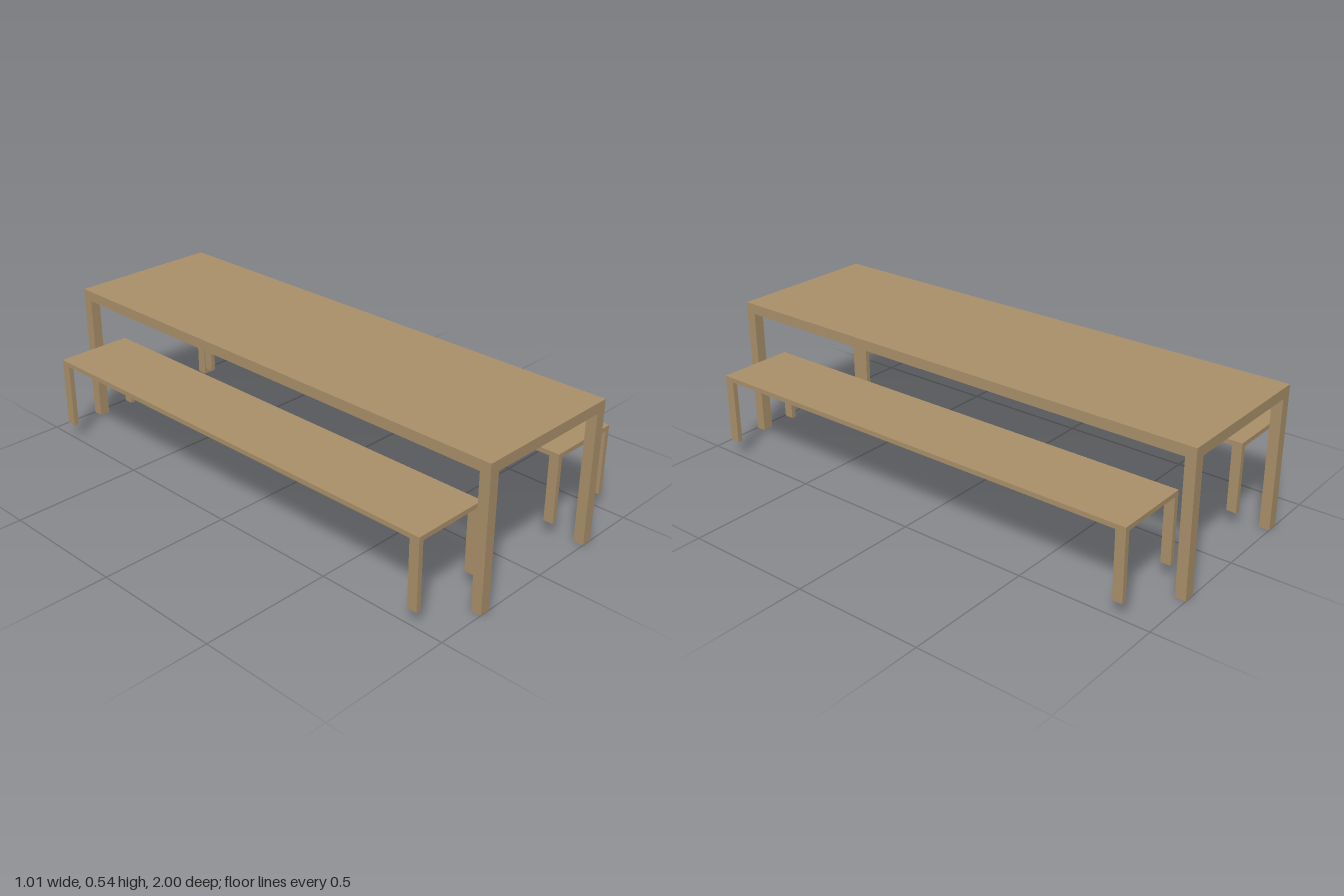
import * as THREE from 'three';

const wood = new THREE.MeshStandardMaterial({ color: 0xa9906a });

function addBox(group, name, size, pos) {
  const mesh = new THREE.Mesh(new THREE.BoxGeometry(...size), wood);
  mesh.name = name;
  mesh.position.set(...pos);
  group.add(mesh);
}

// A flat slab on four corner legs, flush with the slab's edges
function makeTrestle(name, { x, bottom, top, width, length, thickness, legX, legZ }) {
  const group = new THREE.Group();
  group.name = name;
  group.position.x = x;
  addBox(group, name + 'Top', [width, thickness, length], [0, top - thickness / 2, 0]);
  const legHeight = top - thickness - bottom;
  for (const sx of [-1, 1]) {
    for (const sz of [-1, 1]) {
      const legName = name + (sz > 0 ? 'Front' : 'Back') + (sx > 0 ? 'Left' : 'Right') + 'Leg';
      addBox(group, legName, [legX, legHeight, legZ],
        [sx * (width - legX) / 2, bottom + legHeight / 2, sz * (length - legZ) / 2]);
    }
  }
  return group;
}

export function createModel() {
  const model = new THREE.Group();
  model.name = 'tableWithBenches';

  // Table, slightly off centre between the benches
  model.add(makeTrestle('table', {
    x: -0.01, bottom: 0, top: 0.54, width: 0.6, length: 2, thickness: 0.04, legX: 0.04, legZ: 0.04,
  }));

  // Benches, partly tucked under the table
  const bench = { bottom: 0.06, top: 0.33, width: 0.298, length: 1.8, thickness: 0.018, legX: 0.019, legZ: 0.038 };
  model.add(makeTrestle('leftBench', { ...bench, x: 0.355 }));
  model.add(makeTrestle('rightBench', { ...bench, x: -0.355 }));

  return model;
}
